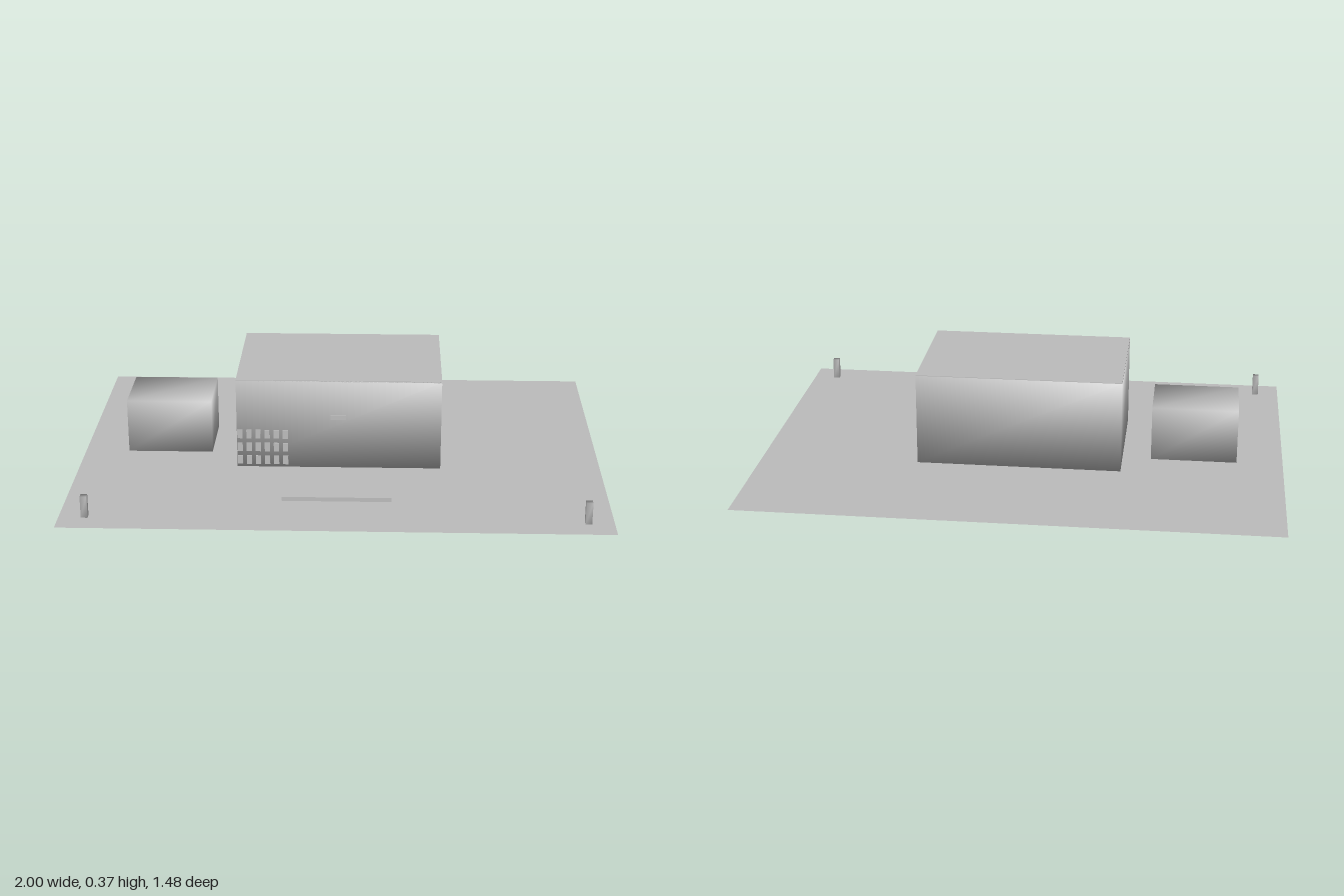
import * as THREE from 'three';
import { mergeVertices } from 'three/addons/utils/BufferGeometryUtils.js';

export function createModel() {
  const model = new THREE.Group();
  const grey = new THREE.MeshStandardMaterial({ color: 0xbcbcbc });
  grey.name = 'plain grey';

  // Box between two corners; smooth boxes share their corner normals
  function box(name, [x0, y0, z0], [x1, y1, z1], smooth = false, parent = model) {
    let geometry = new THREE.BoxGeometry(x1 - x0, y1 - y0, z1 - z0);
    geometry.translate((x0 + x1) / 2, (y0 + y1) / 2, (z0 + z1) / 2);
    if (smooth) {
      geometry.deleteAttribute('normal');
      geometry.deleteAttribute('uv');
      geometry = mergeVertices(geometry);
      geometry.computeVertexNormals();
    }
    const mesh = new THREE.Mesh(geometry, grey);
    mesh.name = name;
    parent.add(mesh);
    return mesh;
  }

  // Flat plot of land
  const groundGeometry = new THREE.PlaneGeometry(2, 1.48).rotateX(-Math.PI / 2);
  const groundMaterial = grey.clone();
  groundMaterial.side = THREE.DoubleSide;
  const ground = new THREE.Mesh(groundGeometry, groundMaterial);
  ground.name = 'ground';
  model.add(ground);

  // Main building with a flat roof
  box('mainWalls', [-0.388, 0.02, -0.283], [0.386, 0.372, 0.236], true);
  box('mainRoof', [-0.388, 0.369, -0.283], [0.386, 0.374, 0.236]);

  // Side building
  box('sideBuilding', [-0.823, 0.02, -0.152], [-0.497, 0.23, 0.104], true);

  // Entrance terrace
  box('terrace', [-0.203, 0, 0.262], [0.2, 0.016, 0.496]);

  // Window grid on the front wall
  const windows = new THREE.Group();
  windows.name = 'windows';
  model.add(windows);
  for (let row = 0; row < 3; row++) {
    for (let col = 0; col < 6; col++) {
      const x = -0.376 + col * 0.0345;
      const y = 0.049 + row * 0.053;
      box('window', [x - 0.01, y - 0.017, 0.234], [x + 0.01, y + 0.017, 0.241], false, windows);
    }
  }

  // Blank sign panel
  box('signPanel', [-0.032, 0.217, 0.234], [0.026, 0.236, 0.24]);

  // Gate posts at the front corners
  for (const side of [-1, 1]) {
    const x = side * 0.906;
    box(side < 0 ? 'rightPost' : 'leftPost', [x - 0.012, 0, 0.634], [x + 0.012, 0.083, 0.658], true);
  }
  return model;
}
